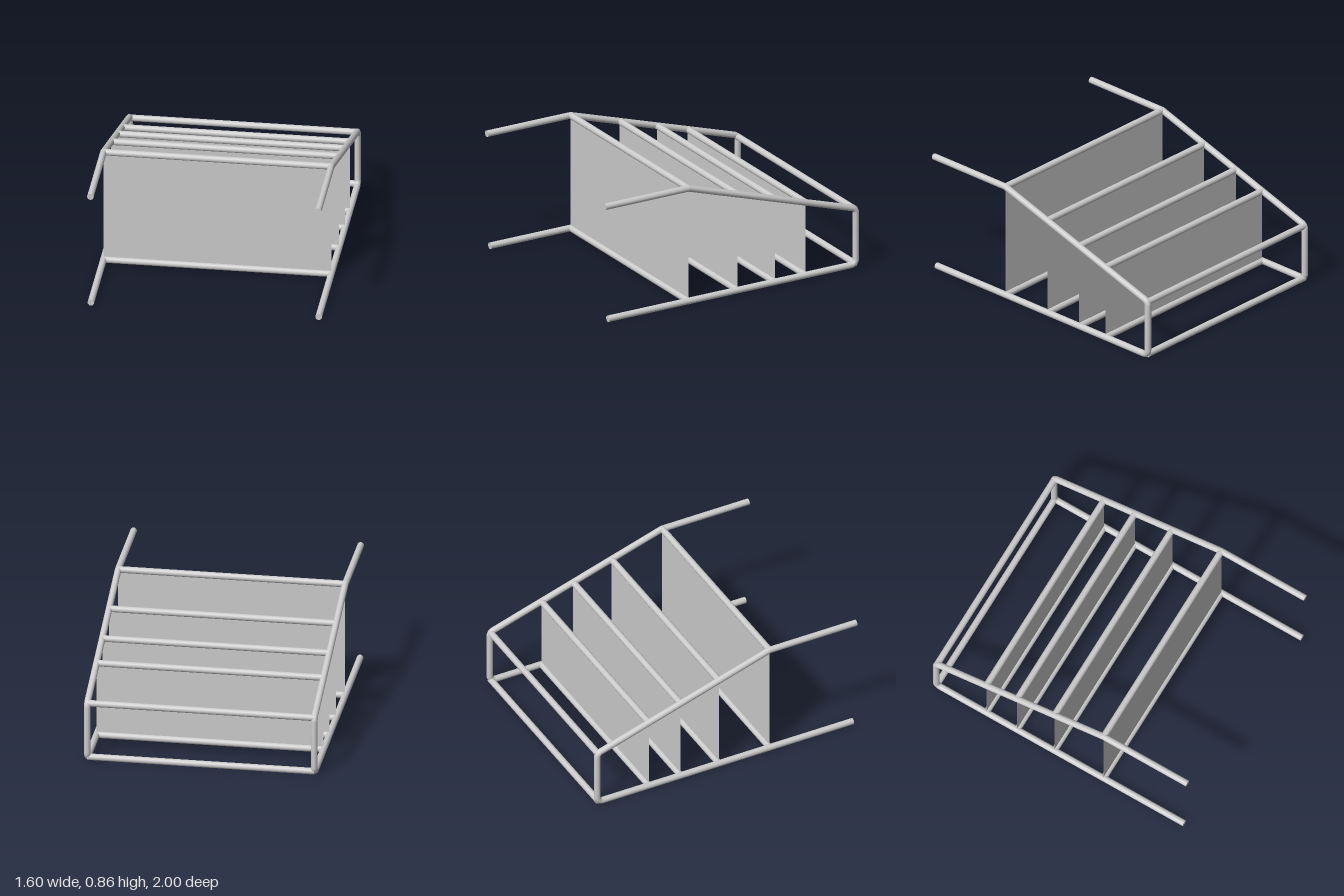
import * as THREE from 'three';
import { toCreasedNormals } from 'three/addons/utils/BufferGeometryUtils.js';

const R = 0.0225;          // tube radius
const HALF = 0.777;        // rail centre offset in x
const LOW = 0.0235;        // lower rail height
const TOP = 0.843;         // upper rail height
const BEND_Z = 0.34;       // where the upper rail starts to slope
const BACK_Z = -0.977;
const SLOPE = 0.315;
const SIDES = 32;
const railY = z => TOP - SLOPE * (BEND_Z - z);

// Points (z, y) of a rounded corner at c, between the directions to a and b
function roundedCorner(a, c, b, radius, steps = 10) {
  const u = a.clone().sub(c).normalize(), v = b.clone().sub(c).normalize();
  const half = Math.acos(u.dot(v)) / 2;
  const mid = u.clone().add(v).normalize();
  const centre = c.clone().addScaledVector(mid, radius / Math.sin(half));
  const start = c.clone().addScaledVector(u, radius / Math.tan(half)).sub(centre);
  const end = c.clone().addScaledVector(v, radius / Math.tan(half)).sub(centre);
  const sweep = Math.atan2(start.cross(end), start.dot(end));
  return Array.from({ length: steps + 1 }, (_, i) =>
    start.clone().rotateAround(new THREE.Vector2(), sweep * i / steps).add(centre));
}

// Sweeps a circle along a (z, y) path with mitred joints and capped ends
function railGeometry(path) {
  const pos = [], index = [], n = path.length;
  path.forEach((p, i) => {
    const before = p.clone().sub(path[Math.max(i - 1, 0)]).normalize();
    const after = path[Math.min(i + 1, n - 1)].clone().sub(p).normalize();
    const t = before.clone().add(after).normalize();
    const stretch = R / t.dot(i ? before : after);
    for (let j = 0; j < SIDES; j++) {
      const a = j / SIDES * Math.PI * 2, k = Math.cos(a) * stretch;
      pos.push(Math.sin(a) * R, p.y - t.x * k, p.x + t.y * k);
    }
  });
  const first = n * SIDES, last = first + 1;
  pos.push(0, path[0].y, path[0].x, 0, path[n - 1].y, path[n - 1].x);
  for (let j = 0; j < SIDES; j++) {
    const k = (j + 1) % SIDES;
    for (let i = 0; i < n - 1; i++) {
      const a = i * SIDES, b = a + SIDES;
      index.push(a + j, a + k, b + j, a + k, b + k, b + j);
    }
    index.push(first, k, j, last, (n - 1) * SIDES + j, (n - 1) * SIDES + k);
  }
  const g = new THREE.BufferGeometry();
  g.setAttribute('position', new THREE.Float32BufferAttribute(pos, 3));
  g.setIndex(index);
  return toCreasedNormals(g, 0.25);
}

export function createModel() {
  const model = new THREE.Group();
  model.name = 'slopedRack';
  const metal = new THREE.MeshStandardMaterial({ color: 0xcccccc });
  const sheet = new THREE.MeshStandardMaterial({ color: 0xcccccc, side: THREE.DoubleSide });
  const add = (name, geometry, material, x, y, z) => {
    const mesh = new THREE.Mesh(geometry, material);
    mesh.name = name;
    mesh.position.set(x, y, z);
    model.add(mesh);
    return mesh;
  };

  // Side frames: one bent tube each
  const v = (z, y) => new THREE.Vector2(z, y);
  const bend = v(BEND_Z, TOP), upper = v(BACK_Z, railY(BACK_Z));
  const lower = v(BACK_Z, LOW), foot = v(0.975, LOW);
  const side = railGeometry([
    v(1, TOP), bend,
    ...roundedCorner(bend, upper, lower, 0.04),
    ...roundedCorner(upper, lower, foot, 0.04),
    foot,
  ]);
  add('leftSideFrame', side, metal, HALF, 0, 0);
  add('rightSideFrame', side, metal, -HALF, 0, 0);

  // Cross bars between the frames, above and below
  const bar = new THREE.CylinderGeometry(R, R, HALF * 2, SIDES).rotateZ(Math.PI / 2);
  const dividers = [BEND_Z, -0.047, -0.34, -0.583];
  [...dividers, BACK_Z + 0.006].forEach((z, i) => {
    const back = i === dividers.length;
    add('upperCrossBar', bar, metal, 0, railY(z) - (back ? 0.006 : 0), z);
    add('lowerCrossBar', bar, metal, 0, LOW + (back ? 0.006 : 0), z);
  });

  // Thin upright divider panels
  for (const z of dividers) {
    const h = railY(z) - LOW;
    add('dividerPanel', new THREE.PlaneGeometry(HALF * 2, h), sheet, 0, LOW + h / 2, z);
  }
  return model;
}
